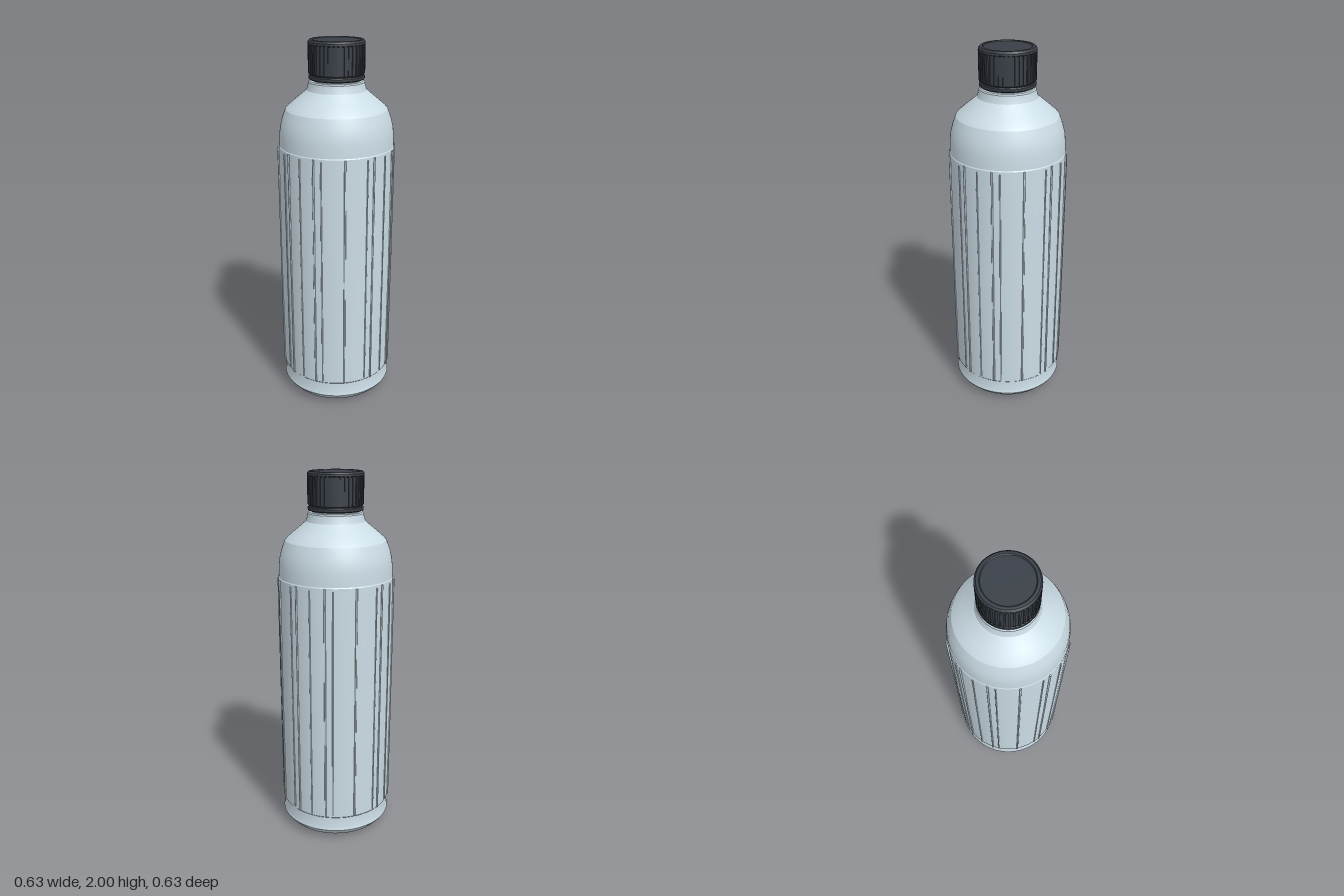
import * as THREE from 'three';
import { toCreasedNormals } from 'three/addons/utils/BufferGeometryUtils.js';

const mat = (name, color) => Object.assign(new THREE.MeshStandardMaterial({ color }), { name });

export function createModel() {
  const shell = mat('pale blue grey', 0xcbdce5);
  const dark = mat('charcoal', 0x393f47);
  const root = new THREE.Group();
  root.name = 'bottle';

  const add = (name, geometry, material, parent = root) => {
    const mesh = new THREE.Mesh(geometry, material);
    mesh.name = name;
    parent.add(mesh);
    return mesh;
  };
  // Surface of revolution, profile listed from the bottom up
  const lathe = (name, profile, material) => {
    const points = profile.map(([r, y]) => new THREE.Vector2(r, y));
    return add(name, toCreasedNormals(new THREE.LatheGeometry(points, 96), 0.35), material);
  };
  // Evenly turned vertical bars around the axis
  const ring = (name, angles, geometry, radius, y, material) => {
    const group = new THREE.Group();
    group.name = name;
    root.add(group);
    angles.forEach((a) => {
      const bar = add('rib', geometry, material, group);
      bar.position.set(Math.sin(a) * radius, y, Math.cos(a) * radius);
      bar.rotation.y = a;
    });
  };
  const steps = (n) => Array.from({ length: n }, (_, i) => (i / n) * Math.PI * 2);

  // Body with rolled base, gently barrelled grip, shoulder and neck
  lathe('body', [
    [0, 0.006], [0.1, 0.006], [0.105, 0.003], [0.175, 0.008], [0.18, 0.012],
    [0.26, 0.016], [0.275, 0.024], [0.303, 0.055], [0.309, 0.065], [0.307, 0.075],
    [0.304, 0.085], [0.304, 0.145], [0.308, 0.15], [0.309, 0.4], [0.311, 0.8],
    [0.309, 1.2], [0.307, 1.455], [0.304, 1.46], [0.302, 1.52], [0.297, 1.56],
    [0.285, 1.605], [0.268, 1.65], [0.255, 1.664], [0.215, 1.698], [0.17, 1.735],
    [0.156, 1.748], [0.148, 1.775], [0.146, 1.788], [0.14, 1.794], [0.125, 1.795],
    [0.125, 1.83],
  ], shell);

  // Small raised ring under the base
  const baseRing = add('baseRing', new THREE.TorusGeometry(0.06, 0.004, 6, 48), shell);
  baseRing.rotation.x = Math.PI / 2;
  baseRing.position.y = 0.006;

  // Grip ribs moulded into the body: twelve bold, and finer ones between them
  const bold = new THREE.CylinderGeometry(0.005, 0.005, 1.3, 10);
  const fine = new THREE.CylinderGeometry(0.0035, 0.0035, 1.28, 8);
  ring('boldRibs', steps(12), bold, 0.311, 0.802, shell);
  ring('fineRibs', steps(16).filter((_, i) => i % 4), fine, 0.311, 0.802, shell);

  // Tamper band and screw cap with shallow top recess
  lathe('capBand', [
    [0.126, 1.802], [0.141, 1.802], [0.145, 1.807], [0.145, 1.82], [0.14, 1.825], [0.126, 1.825],
  ], dark);
  lathe('cap', [
    [0.12, 1.815], [0.136, 1.825], [0.142, 1.832], [0.142, 1.975], [0.147, 1.98],
    [0.146, 1.99], [0.138, 1.999], [0.13, 2], [0.124, 2], [0.12, 1.996], [0, 1.996],
  ], dark);
  ring('capGrips', steps(40), new THREE.BoxGeometry(0.01, 0.145, 0.01), 0.1415, 1.907, dark);

  return root;
}
